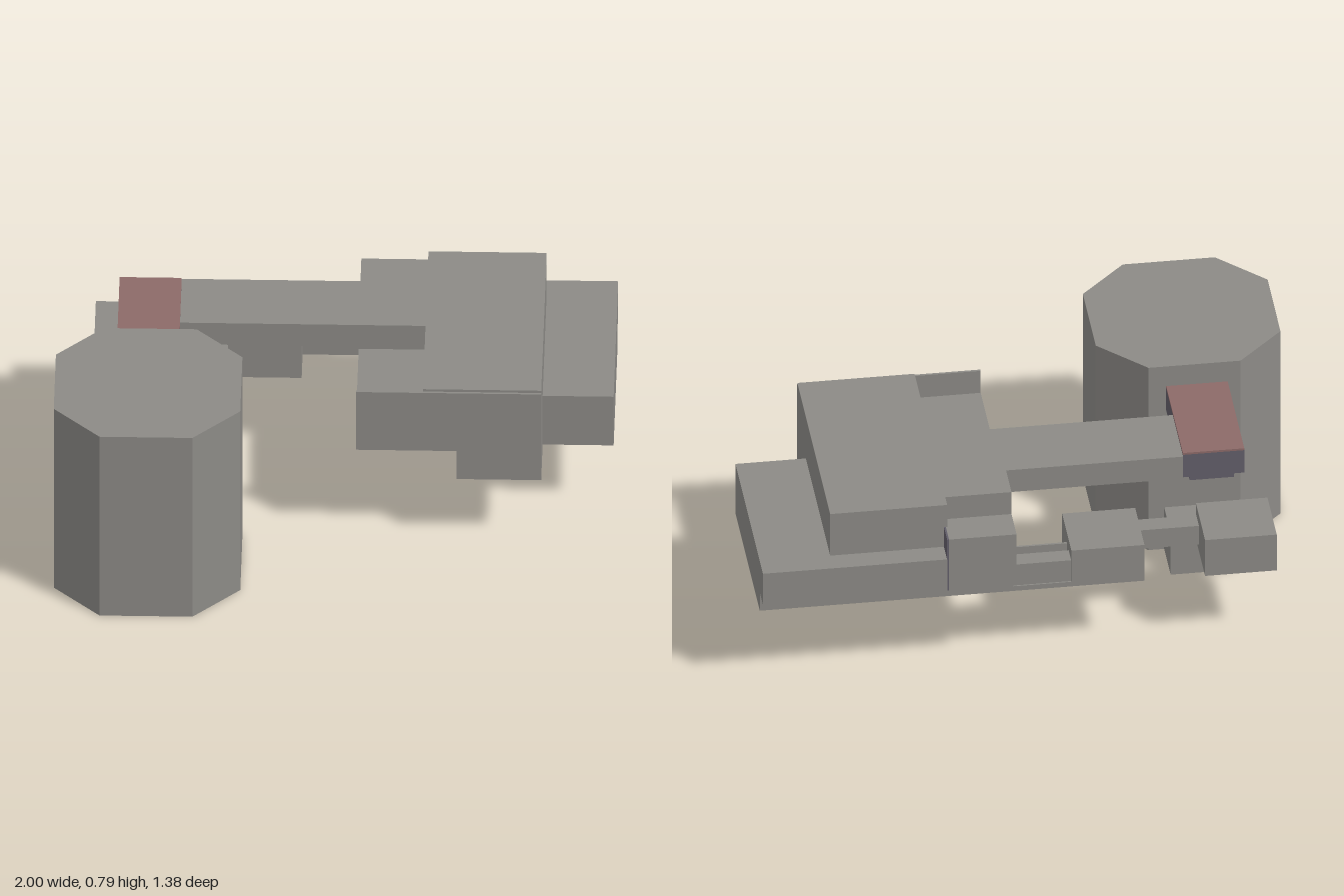
import * as THREE from 'three';

export function createModel() {
  const model = new THREE.Group();
  model.name = 'buildingComplex';

  const concrete = new THREE.MeshStandardMaterial({ color: 0x8c8a86 });
  concrete.name = 'warm grey concrete';
  const roofRed = new THREE.MeshStandardMaterial({ color: 0x8c6a68 });
  roofRed.name = 'dull red roof';
  const slate = new THREE.MeshStandardMaterial({ color: 0x625e69 });
  slate.name = 'dark slate';

  // Box given by its lower and upper limits on each axis
  function block(name, [x0, x1], [y0, y1], [z0, z1], material = concrete) {
    const mesh = new THREE.Mesh(new THREE.BoxGeometry(x1 - x0, y1 - y0, z1 - z0), material);
    mesh.position.set((x0 + x1) / 2, (y0 + y1) / 2, (z0 + z1) / 2);
    mesh.name = name;
    model.add(mesh);
    return mesh;
  }

  // Octagonal tower with long straight sides and cut corners
  const half = 0.335, cut = 0.167;
  const plan = new THREE.Shape([
    [-cut, -half], [cut, -half], [half, -cut], [half, cut],
    [cut, half], [-cut, half], [-half, cut], [-half, -cut],
  ].map(([x, y]) => new THREE.Vector2(x, y)));
  const towerGeometry = new THREE.ExtrudeGeometry(plan, { depth: 0.79, bevelEnabled: false });
  towerGeometry.rotateX(-Math.PI / 2);
  const tower = new THREE.Mesh(towerGeometry, concrete);
  tower.position.set(-0.665, 0, 0.357);
  tower.name = 'octagonalTower';
  model.add(tower);
  block('towerAnnex', [-0.78, -0.555], [0, 0.18], [-0.145, 0.05]);

  // Bridge from the tower to the long arm
  block('bridgeBody', [-0.785, -0.562], [0.6, 0.697], [-0.412, 0.04], slate);
  block('bridgeRoof', [-0.785, -0.562], [0.697, 0.705], [-0.412, 0.04], roofRed);
  block('bridgeBeam', [-0.75, -0.59], [0.57, 0.6], [-0.39, 0.04], slate);
  block('longArm', [-0.562, 0.08], [0.6, 0.695], [-0.42, -0.15]);

  // Main hall with a sunken terrace and an open front corner below
  block('hallUpper', [0.32, 0.745], [0.43, 0.695], [-0.61, 0.24]);
  block('hallInnerWing', [0.08, 0.32], [0.43, 0.695], [-0.56, -0.15]);
  block('terraceFloor', [0.08, 0.32], [0.43, 0.59], [-0.15, 0.24]);
  block('hallLower', [0.08, 0.745], [0.3, 0.43], [-0.61, -0.17]);
  block('hallLeg', [0.44, 0.745], [0.3, 0.43], [-0.17, 0.24]);
  block('frontPanel', [0.08, 0.745], [0.43, 0.685], [0.24, 0.249]);
  block('legPanel', [0.44, 0.745], [0.32, 0.43], [0.24, 0.249]);

  // Low side wing and rear ledge
  block('sideWing', [0.745, 1], [0.3, 0.515], [-0.61, 0.02]);
  block('rearLedge', [0.33, 1], [0.38, 0.515], [-0.692, -0.61]);
  block('rearBlock', [0.08, 0.325], [0.38, 0.6], [-0.692, -0.56]);
  block('rearBlockEnd', [0.325, 0.332], [0.38, 0.6], [-0.692, -0.61], slate);

  // Row of low pavilions behind the arm, joined by walkways
  for (const [x0, x1] of [[-0.875, -0.615], [-0.395, -0.13]]) {
    block('pavilion', [x0, x1], [0.3, 0.455], [-0.61, -0.37]);
  }
  block('pavilionLink', [-0.615, -0.395], [0.33, 0.41], [-0.45, -0.38]);
  block('walkway', [-0.13, 0.08], [0.32, 0.41], [-0.605, -0.54]);
  block('walkwayBase', [-0.13, 0.085], [0.3, 0.32], [-0.61, -0.53]);
  block('walkwayRail', [-0.13, 0.08], [0.32, 0.41], [-0.495, -0.487]);

  return model;
}
